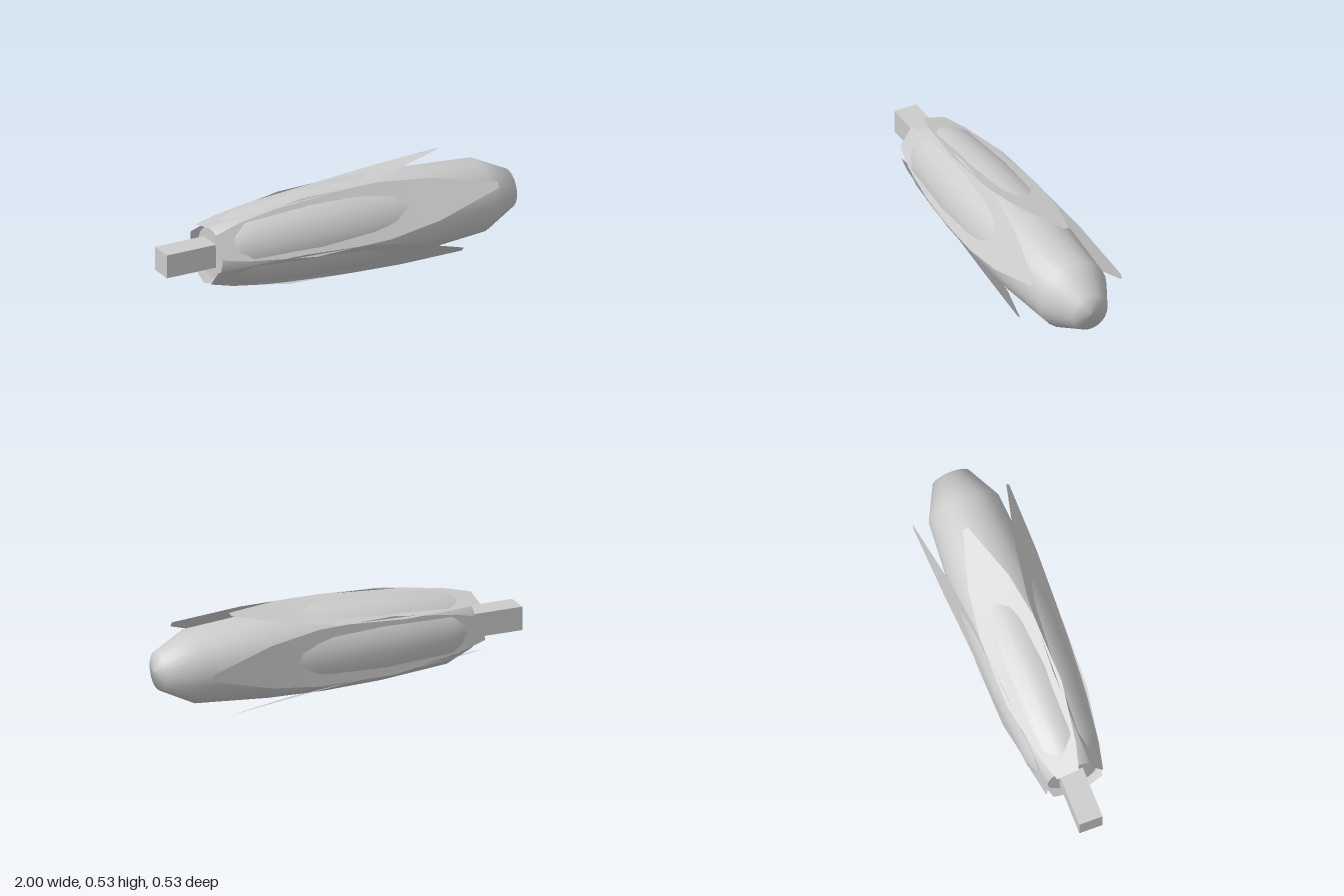
import * as THREE from 'three';

const SIDES = 24;
const CENTER_Y = 0.26, CENTER_Z = 0.01;

// One husk leaf: a thin strip along x, flat across, rising away from the cob.
function leafGeometry(length) {
  // [fraction of length, height above axis, half width]
  const stations = [
    [0, 0.145, 0.06], [0.1, 0.162, 0.1], [0.33, 0.188, 0.152],
    [0.6, 0.21, 0.148], [0.78, 0.237, 0.11], [1, 0.275, 0.0155],
  ];
  const positions = [], index = [];
  stations.forEach(([t, h, w], i) => {
    const x = -0.755 + t * length;
    positions.push(x, h, -w, x, h, w);
    if (i > 0) {
      const a = 2 * (i - 1);
      index.push(a, a + 1, a + 3, a, a + 3, a + 2);
    }
  });
  const geometry = new THREE.BufferGeometry();
  geometry.setAttribute('position', new THREE.Float32BufferAttribute(positions, 3));
  geometry.setIndex(index);
  geometry.computeVertexNormals();
  return geometry;
}

export function createModel() {
  const model = new THREE.Group();
  model.name = 'cornCob';
  const grey = new THREE.MeshStandardMaterial({ color: 0xcccccc, side: THREE.DoubleSide });
  grey.name = 'paleGrey';

  const add = (name, geometry) => {
    const mesh = new THREE.Mesh(geometry, grey);
    mesh.name = name;
    mesh.position.set(0, CENTER_Y, CENTER_Z);
    model.add(mesh);
    return mesh;
  };

  // Rounded cob, turned around the x axis
  const profile = [
    [0.13, -0.72], [0.19, -0.57], [0.22, -0.2], [0.228, 0.1],
    [0.22, 0.4], [0.19, 0.8], [0.1, 0.98], [0, 1],
  ].map(([r, x]) => new THREE.Vector2(r, x));
  add('cob', new THREE.LatheGeometry(profile, SIDES).rotateZ(-Math.PI / 2));
  add('cobEnd', new THREE.CircleGeometry(0.13, SIDES).rotateY(-Math.PI / 2).translate(-0.72, 0, 0));

  // Square stem
  add('stem', new THREE.BoxGeometry(0.32, 0.125, 0.125).translate(-0.84, 0.003, -0.004));

  // Five husk leaves, two of them longer
  const tips = [0.61, 0.8, 0.61, 0.61, 0.8];
  tips.forEach((tip, i) => {
    const leaf = add('huskLeaf' + (i + 1), leafGeometry(tip + 0.755));
    leaf.rotation.x = -THREE.MathUtils.degToRad(13.5 + 72 * i);
  });
  return model;
}
